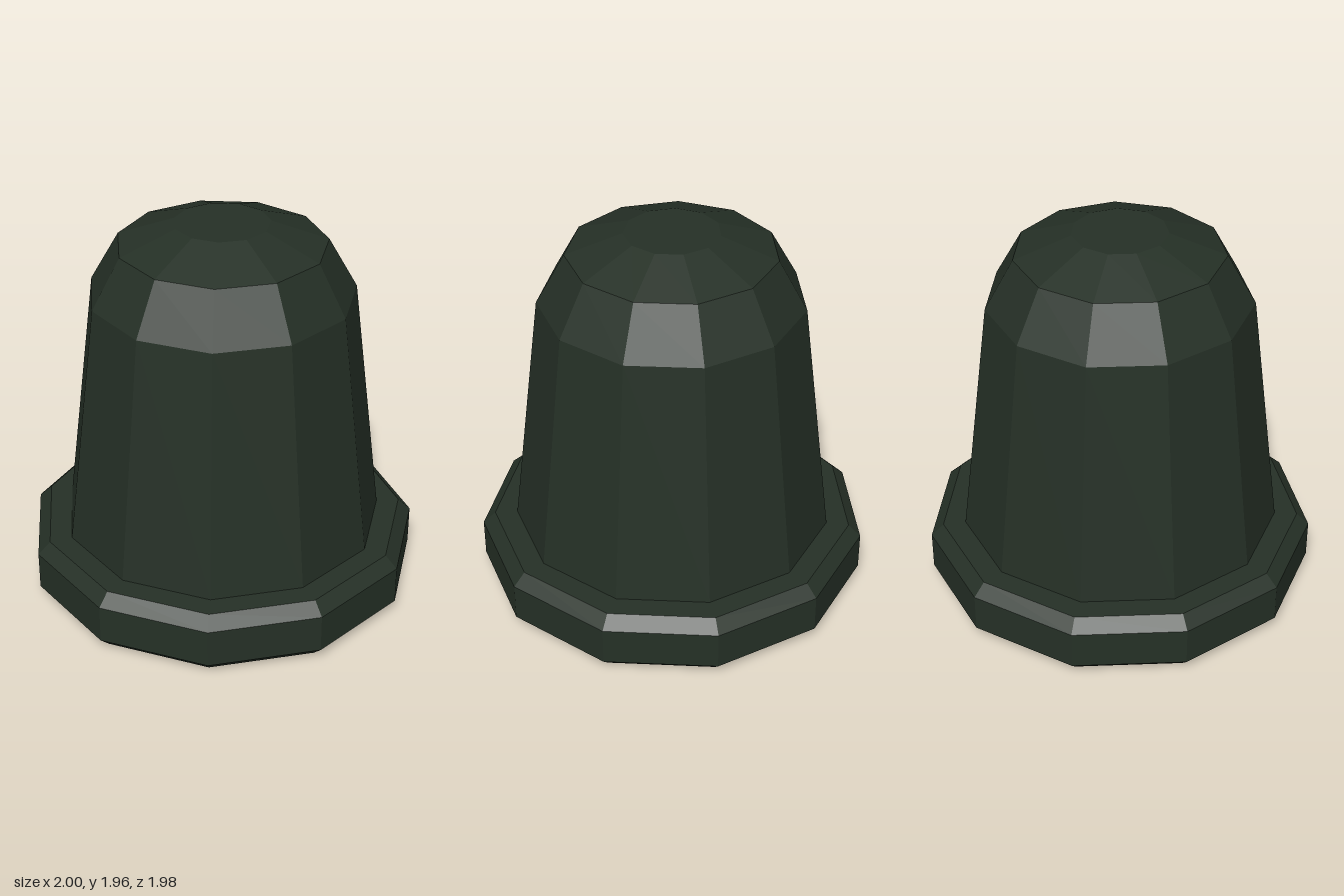
import * as THREE from 'three';

const SIDES = 11;

// Faceted solid of revolution with one corner pointing straight back
function facetedLathe(name, profile, material) {
  const points = profile.map(([r, y]) => new THREE.Vector2(r, y));
  const geometry = new THREE.LatheGeometry(points, SIDES, Math.PI).toNonIndexed();
  geometry.computeVertexNormals();
  const mesh = new THREE.Mesh(geometry, material);
  mesh.name = name;
  return mesh;
}

export function createModel() {
  const darkGreen = new THREE.MeshStandardMaterial({ color: 0x253026 });
  darkGreen.name = 'dark green';

  const group = new THREE.Group();
  group.name = 'domedCap';

  // Chamfered base flange
  group.add(facetedLathe('baseFlange', [
    [0, 0], [0.948, 0], [1.01, 0.06], [1.01, 0.26], [0.945, 0.322], [0, 0.322],
  ], darkGreen));

  // Tapered body with rounded top
  group.add(facetedLathe('domedBody', [
    [0.828, 0.322], [0.67, 1.6], [0.525, 1.857], [0.24, 1.963], [0, 1.963],
  ], darkGreen));

  // An odd number of sides is deeper at the back, so shift to centre it
  group.children.forEach((part) => { part.position.z = 0.02; });
  return group;
}
